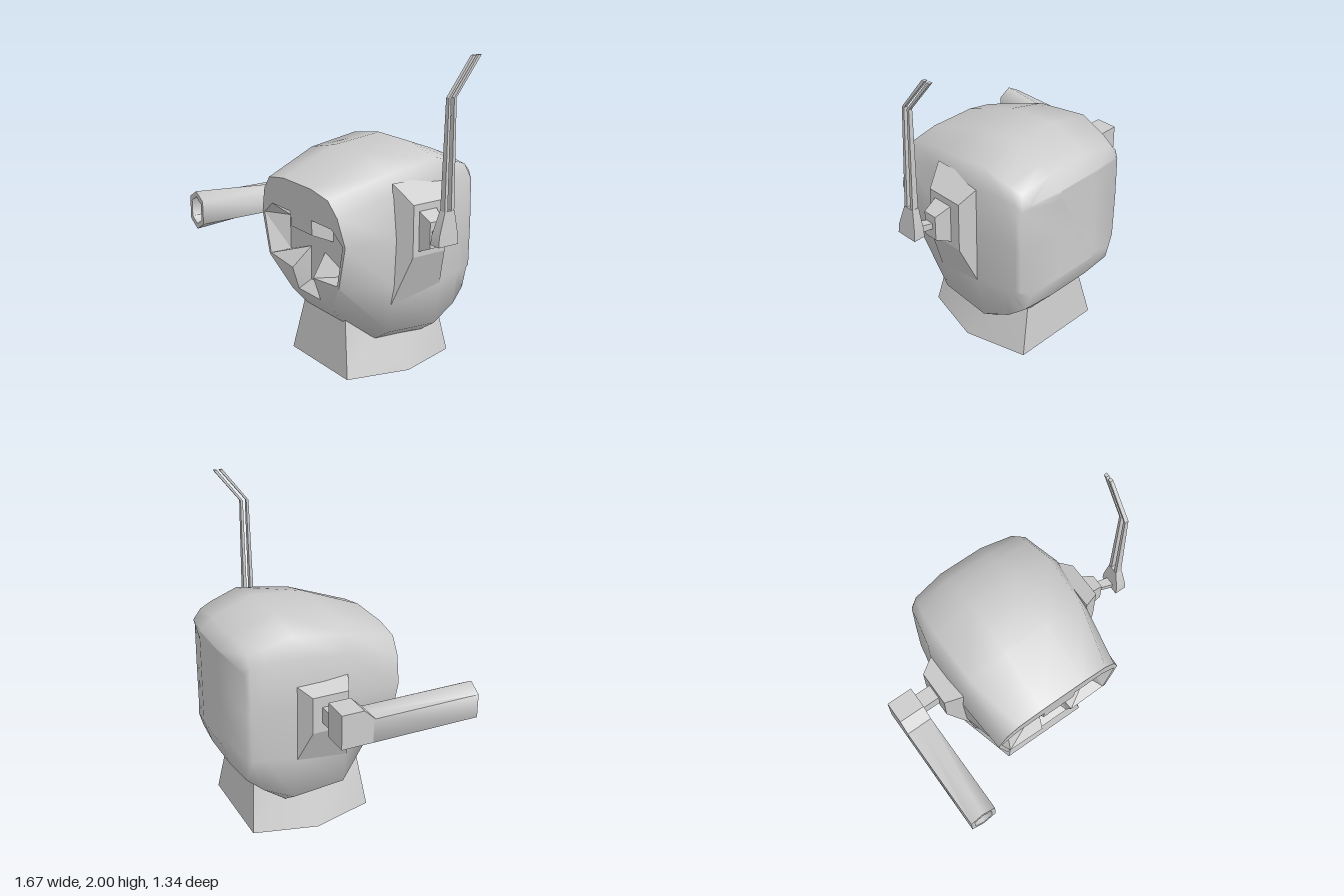
import * as THREE from 'three';
import { mergeGeometries, toCreasedNormals } from 'three/addons/utils/BufferGeometryUtils.js';

const material = new THREE.MeshStandardMaterial({ color: 0xcccccc });
const shellMaterial = new THREE.MeshStandardMaterial({ color: 0xcccccc, side: THREE.DoubleSide });

function addMesh(parent, name, geometry, mat = material) {
  const mesh = new THREE.Mesh(geometry, mat);
  mesh.name = name;
  parent.add(mesh);
  return mesh;
}

// Skin closed rings of [x, y, z]; each ring turns counter-clockwise about the direction of travel
function loft(rings, { start = true, end = true, crease = 0.3 } = {}) {
  const n = rings[0].length;
  const positions = rings.flat(2);
  const index = [];
  for (let i = 0; i < rings.length - 1; i++) {
    for (let j = 0; j < n; j++) {
      const a = i * n + j, b = i * n + (j + 1) % n;
      index.push(a, b, b + n, a, b + n, a + n);
    }
  }
  const cap = (ring, first, flip) => {
    const centre = positions.length / 3;
    for (let k = 0; k < 3; k++) positions.push(ring.reduce((s, p) => s + p[k], 0) / n);
    for (let j = 0; j < n; j++) {
      const a = first + j, b = first + (j + 1) % n;
      index.push(centre, flip ? b : a, flip ? a : b);
    }
  };
  if (start) cap(rings[0], 0, true);
  if (end) cap(rings[rings.length - 1], (rings.length - 1) * n, false);
  const geometry = new THREE.BufferGeometry();
  geometry.setAttribute('position', new THREE.Float32BufferAttribute(positions, 3));
  geometry.setIndex(index);
  return toCreasedNormals(geometry, crease);
}

// Rectangular sections along x: [x, y0, y1, z0, z1]
const taperX = (sections) => loft(sections.map(([x, y0, y1, z0, z1]) =>
  [[x, y0, z0], [x, y1, z0], [x, y1, z1], [x, y0, z1]]));
// Rectangular sections along y: [y, x0, x1, z0, z1]
const taperY = (sections) => loft(sections.map(([y, x0, x1, z0, z1]) =>
  [[x0, y, z0], [x0, y, z1], [x1, y, z1], [x1, y, z0]]));

// Depth of the face surface at a given height
function faceZ(y) {
  const profile = [[0.34, 0.21], [0.46, 0.31], [0.62, 0.365], [0.95, 0.37], [1.2, 0.4]];
  for (let i = 1; i < profile.length; i++) {
    const [y0, z0] = profile[i - 1], [y1, z1] = profile[i];
    if (y <= y1) return z0 + (z1 - z0) * (y - y0) / (y1 - y0);
  }
  return 0.4;
}

// Full outline from its +x half, listed top to bottom
const mirrorRing = (half) => [...half].reverse().concat(half.map(([x, ...rest]) => [-x, ...rest]));
const toVectors = (ring) => ring.map(([x, y]) => new THREE.Vector2(x, y));

function buildHead() {
  const head = new THREE.Group();
  head.name = 'head';
  head.position.x = 0.022;

  // Skull cross-sections from back to front
  const at = (z, pts) => pts.map(([x, y]) => [x, y, z]);
  const rim = [[0.15, 1.2], [0.32, 1.17], [0.4, 1.08], [0.455, 0.915], [0.385, 0.645], [0.22, 0.45], [0.2, 0.34]]
    .map(([x, y]) => [x, y, faceZ(y)]);
  const halves = [
    at(-0.67, [1.215, 1.2, 1.16, 0.9, 0.66, 0.62, 0.595].map((y) => [0.15, y])),
    [[0.15, 1.22, -0.67], [0.36, 1.2, -0.635], [0.41, 1.16, -0.61], [0.415, 0.9, -0.61],
      [0.41, 0.6, -0.61], [0.35, 0.55, -0.635], [0.15, 0.59, -0.67]],
    [[0.15, 1.285, -0.58], [0.38, 1.255, -0.58], [0.425, 1.2, -0.58], [0.425, 0.9, -0.58],
      [0.425, 0.59, -0.58], [0.37, 0.44, -0.6], [0.15, 0.44, -0.62]],
    at(-0.5, [[0.15, 1.32], [0.4, 1.285], [0.44, 1.21], [0.44, 0.9], [0.44, 0.59], [0.4, 0.36], [0.2, 0.3]]),
    at(-0.32, [[0.15, 1.39], [0.42, 1.34], [0.48, 1.23], [0.48, 0.9], [0.48, 0.58], [0.43, 0.28], [0.3, 0.19]]),
    at(0.02, [[0.15, 1.355], [0.41, 1.29], [0.455, 1.18], [0.475, 0.9], [0.465, 0.6], [0.42, 0.3], [0.28, 0.21]]),
    rim,
  ];
  const skull = loft(halves.map(mirrorRing), { end: false });

  // Face plate with the visor opening, joined smoothly to the skull
  const opening = mirrorRing([[0.115, 0.9], [0.115, 0.995], [0.325, 0.995], [0.43, 0.915], [0.367, 0.655], [0.115, 0.63], [0.12, 0.48]]);
  const floor = mirrorRing([[0.165, 0.85], [0.165, 0.97], [0.305, 0.97], [0.315, 0.9], [0.312, 0.675], [0.075, 0.76], [0.08, 0.54]]);
  const faceShape = new THREE.Shape(toVectors(mirrorRing(rim)));
  faceShape.holes.push(new THREE.Path(toVectors(opening)));
  const face = new THREE.ShapeGeometry(faceShape).toNonIndexed();
  face.deleteAttribute('uv');
  const p = face.attributes.position;
  for (let i = 0; i < p.count; i++) p.setZ(i, faceZ(p.getY(i)));
  addMesh(head, 'skullAndFace', toCreasedNormals(mergeGeometries([skull, face]), 1.2), shellMaterial);

  // Sloping recess behind the opening
  const floorZ = 0.25;
  const walls = [opening.map(([x, y]) => [x, y, faceZ(y)]), floor.map(([x, y]) => [x, y, floorZ])];
  addMesh(head, 'visorWalls', loft(walls, { start: false, end: false }), shellMaterial);
  addMesh(head, 'visorFloor', new THREE.ShapeGeometry(new THREE.Shape(toVectors(floor)))).position.z = floorZ;
  return head;
}

// Flared hexagonal neck, hollow from below
function buildNeck() {
  const hex = (y, side, front, z) => [[side, 0], [front, z], [-front, z], [-side, 0], [-front, -z], [front, -z]]
    .map(([x, d]) => [x + 0.022, y, d - 0.145]);
  return loft([
    hex(0.37, 0.25, 0.22, 0.35), hex(0, 0.41, 0.305, 0.395),
    hex(0, 0.37, 0.28, 0.355), hex(0.3, 0.24, 0.2, 0.31),
  ], { crease: 0.9 });
}

// Hollow barrel beside the head, square at the mount and hexagonal at the mouth
function buildBarrel() {
  const group = new THREE.Group();
  group.name = 'sideBarrel';
  const hex = (z, w, side, h) => [[w, -side], [w, side], [0, h], [-w, side], [-w, -side], [0, -h]]
    .map(([x, y]) => [x - 0.755, y + 0.888, z]);
  addMesh(group, 'barrel', loft([
    hex(-0.02, 0.085, 0.075, 0.075), hex(0.67, 0.085, 0.075, 0.126),
    hex(0.67, 0.06, 0.053, 0.09), hex(0.2, 0.06, 0.05, 0.065),
  ], { crease: 1.1 }));
  // Mount block with a sloped front
  const profile = [[-0.22, 0.813], [-0.01, 0.813], [-0.01, 0.963], [-0.08, 1.03], [-0.22, 1.03]];
  const block = [-0.84, -0.67].map((x) => profile.map(([z, y]) => [x, y, z]).reverse());
  addMesh(group, 'barrelMount', loft(block));
  addMesh(group, 'barrelArm', taperX([[-0.68, 0.84, 0.94, -0.2, -0.1], [-0.53, 0.84, 0.94, -0.2, -0.1]]));
  return group;
}

function buildAntenna() {
  const group = new THREE.Group();
  group.name = 'antenna';
  addMesh(group, 'antennaKnob', taperX([[0.57, 0.83, 1.1, -0.21, -0.07], [0.685, 0.88, 1.04, -0.17, -0.08]]));
  addMesh(group, 'antennaArm', taperX([[0.67, 0.95, 0.985, -0.15, -0.1], [0.78, 0.945, 0.995, -0.12, -0.06]]));
  addMesh(group, 'antennaBase', taperY([
    [0.94, 0.76, 0.835, -0.16, -0.02], [1, 0.765, 0.832, -0.16, -0.025], [1.14, 0.778, 0.822, -0.14, -0.07],
  ]));
  // Twin rods bent toward the back
  for (const [z0, z1, z2] of [[-0.08, -0.093, -0.265], [-0.128, -0.132, -0.303]]) {
    addMesh(group, 'antennaRod', taperY([
      [1.12, 0.78, 0.82, z0 - 0.011, z0 + 0.011],
      [1.78, 0.787, 0.811, z1 - 0.008, z1 + 0.008],
      [2, 0.789, 0.809, z2 - 0.011, z2 + 0.011],
    ]));
  }
  return group;
}

export function createModel() {
  const model = new THREE.Group();
  model.name = 'helmetedHead';
  model.add(buildHead(), buildBarrel(), buildAntenna());
  addMesh(model, 'neck', buildNeck(), shellMaterial);
  // Tapered ear plates
  addMesh(model, 'leftEarPlate', taperX([[0.47, 0.49, 1.24, -0.335, 0.03], [0.595, 0.81, 1.13, -0.27, -0.03]]));
  addMesh(model, 'rightEarPlate', taperX([[-0.555, 0.78, 1.01, -0.26, -0.03], [-0.43, 0.51, 1.06, -0.33, 0.025]]));
  return model;
}
